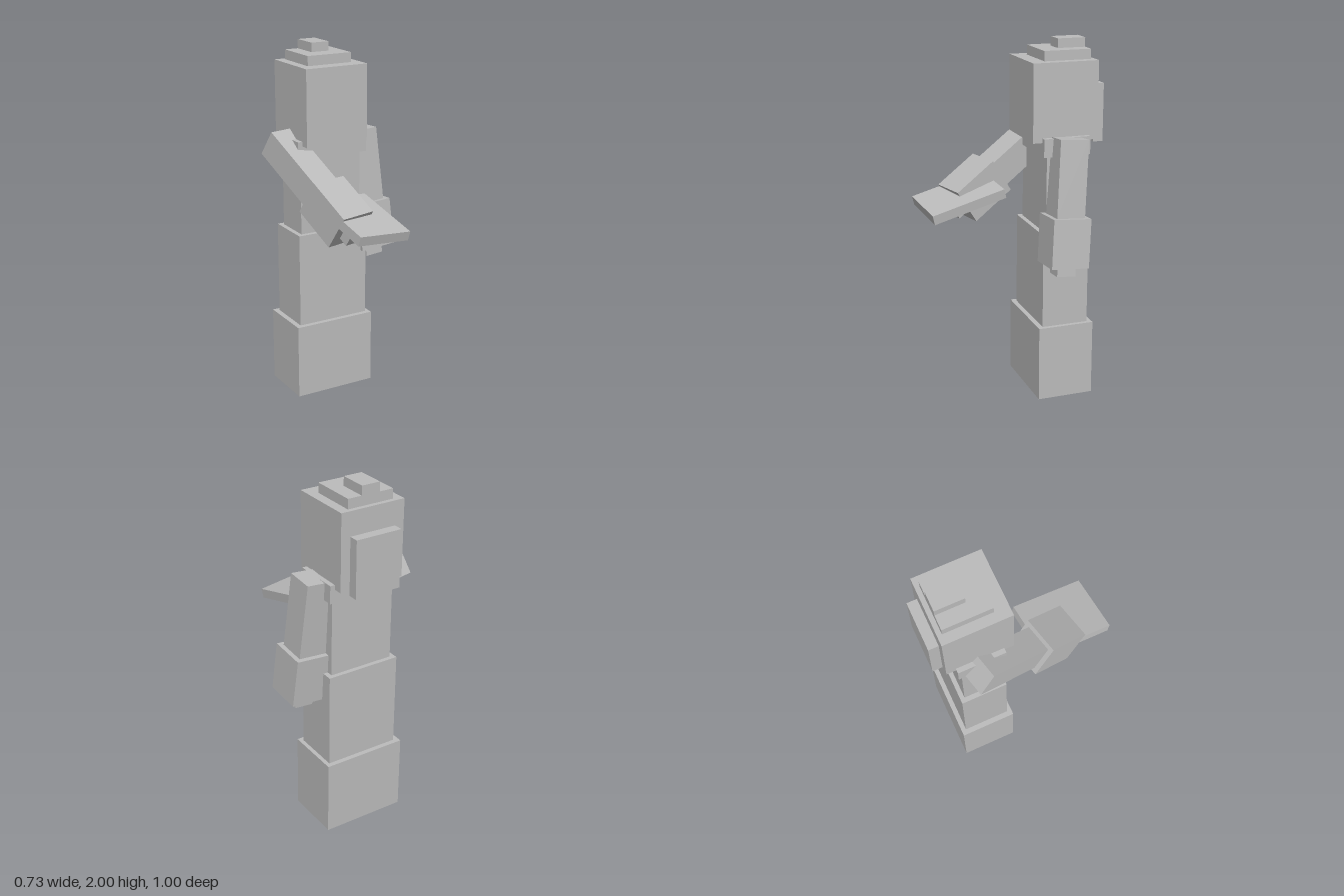
import * as THREE from 'three';

export function createModel() {
  const model = new THREE.Group();
  model.name = 'figure';
  const stone = new THREE.MeshStandardMaterial({ color: 0xbbbbbb });
  stone.name = 'stone grey';

  // Box given by its extents on each axis
  function block(parent, name, [x0, x1], [y0, y1], [z0, z1]) {
    const mesh = new THREE.Mesh(new THREE.BoxGeometry(x1 - x0, y1 - y0, z1 - z0), stone);
    mesh.position.set((x0 + x1) / 2, (y0 + y1) / 2, (z0 + z1) / 2);
    mesh.name = name;
    parent.add(mesh);
    return mesh;
  }

  // Robe and torso
  block(model, 'robeHem', [-0.27, 0.21], [0, 0.428], [-0.42, -0.1]);
  block(model, 'robe', [-0.24, 0.187], [0.428, 0.962], [-0.393, -0.128]);
  block(model, 'torso', [-0.213, 0.16], [0.962, 1.395], [-0.368, -0.154]);
  block(model, 'collar', [-0.24, 0.187], [1.395, 1.495], [-0.393, -0.128]);

  // Head with stepped hair and a bun
  block(model, 'head', [-0.213, 0.16], [1.47, 1.895], [-0.445, -0.075]);
  block(model, 'crownHair', [-0.16, 0.106], [1.895, 1.949], [-0.42, -0.155]);
  block(model, 'topKnot', [-0.08, 0.026], [1.949, 2], [-0.42, -0.262]);
  block(model, 'backHair', [-0.16, 0.106], [1.443, 1.762], [-0.5, -0.445]);

  // Arm hanging along -y from its shoulder end: sleeve, wide cuff and hand
  function arm(name) {
    const group = new THREE.Group();
    group.name = name;
    const parts = [['sleeve', 0.08, 0, 0.42], ['cuff', 0.1065, 0.42, 0.69], ['hand', 0.053, 0.69, 0.745]];
    for (const [part, half, from, to] of parts) {
      block(group, part, [-half, half], [-to, -from], [-half, half]);
    }
    model.add(group);
    return group;
  }

  // Left arm, nearly straight down
  const leftArm = arm('leftArm');
  leftArm.position.set(0.207, 1.498, -0.262);
  leftArm.rotation.set(THREE.MathUtils.degToRad(-4), 0, THREE.MathUtils.degToRad(4.6));

  // Right arm, reaching forward and slightly inward
  const rightArm = arm('rightArm');
  rightArm.position.set(-0.275, 1.473, -0.302);
  rightArm.rotation.order = 'YXZ';
  rightArm.rotation.set(THREE.MathUtils.degToRad(-57), THREE.MathUtils.degToRad(13.8), 0);

  // Tilted tablet held in the right hand
  const tablet = new THREE.Mesh(new THREE.BoxGeometry(0.32, 0.053, 0.425), stone);
  tablet.name = 'tablet';
  const across = new THREE.Vector3(0.99, -0.094, -0.094).normalize();
  const forward = new THREE.Vector3(0.075, -0.247, 0.965).normalize();
  const up = new THREE.Vector3().crossVectors(forward, across).normalize();
  forward.crossVectors(across, up);
  tablet.quaternion.setFromRotationMatrix(new THREE.Matrix4().makeBasis(across, up, forward));
  tablet.position.set(-0.0765, 1.147, 0.269);
  model.add(tablet);

  return model;
}
